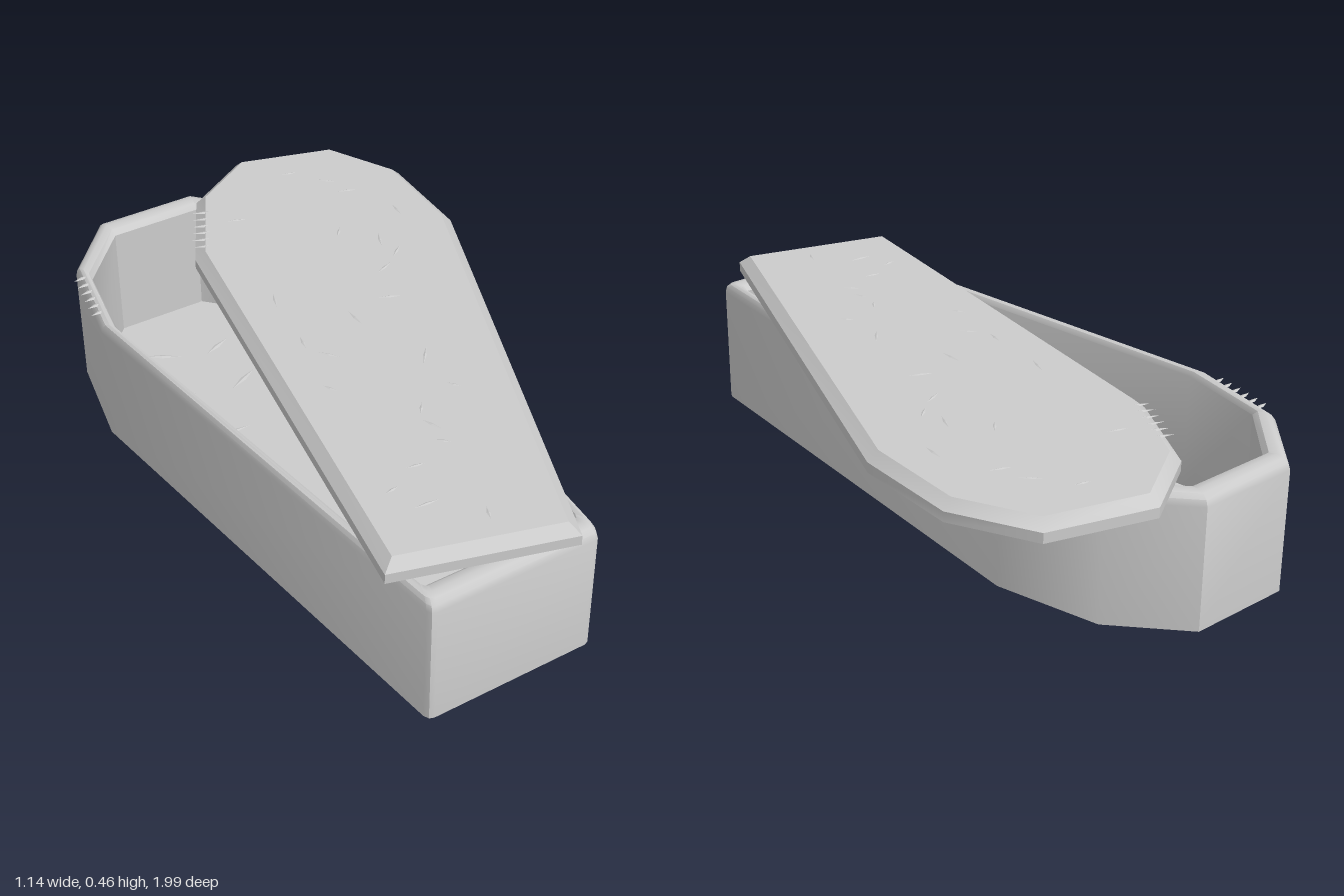
import * as THREE from 'three';
import { toCreasedNormals } from 'three/addons/utils/BufferGeometryUtils.js';

const material = new THREE.MeshStandardMaterial({ color: 0xcccccc });

// Right half of each outline as [x, z], head to foot; the left half is mirrored
const OUTER = [[0.155, -0.99], [0.325, -0.8], [0.395, -0.49], [0.255, 0.945], [0.248, 0.96], [0.235, 0.965]];
const INNER = [[0.14, -0.91], [0.305, -0.73], [0.36, -0.45], [0.228, 0.87], [0.223, 0.88], [0.215, 0.885]];
const LID = [[0.155, -0.99], [0.325, -0.8], [0.395, -0.49], [0.25, 0.965]];
const LID_TOP = [[0.143, -0.96], [0.299, -0.785], [0.364, -0.487], [0.224, 0.935]];

const mirrored = (half) => [...half, ...half.map(([x, z]) => [-x, z]).reverse()];

// Joins rings of [blend from a to b, height] and closes both ends with flat caps
function loft(a, b, levels) {
  const A = mirrored(a), B = mirrored(b), n = A.length, pos = [];
  const rings = levels.map(([t, y]) => A.map(([x, z], i) => [
    THREE.MathUtils.lerp(x, B[i][0], t), y, THREE.MathUtils.lerp(z, B[i][1], t)]));
  for (let k = 0; k < rings.length - 1; k++) {
    for (let i = 0; i < n; i++) {
      const j = (i + 1) % n, p = rings[k], q = rings[k + 1];
      pos.push(...p[i], ...q[i], ...p[j], ...p[j], ...q[i], ...q[j]);
    }
  }
  const first = rings[0], last = rings[rings.length - 1];
  for (let i = 1; i < n - 1; i++) {
    pos.push(...first[0], ...first[i], ...first[i + 1]);
    pos.push(...last[0], ...last[i + 1], ...last[i]);
  }
  const geometry = new THREE.BufferGeometry();
  geometry.setAttribute('position', new THREE.Float32BufferAttribute(pos, 3));
  geometry.computeVertexNormals();
  return toCreasedNormals(geometry, 0.6);
}

function part(name, geometry, parent) {
  const mesh = new THREE.Mesh(geometry, material);
  mesh.name = name;
  parent.add(mesh);
  return mesh;
}

function seeded(seed) {
  return () => (seed = (seed * 16807) % 2147483647) / 2147483647;
}

// Thin spindle lying flat, for scratches in the surface
const sliver = toCreasedNormals(new THREE.OctahedronGeometry(1), 0.2);
function scratch(name, parent, x, y, z, length, angle, width = 0.006) {
  const mesh = part(name, sliver, parent);
  mesh.position.set(x, y, z);
  mesh.scale.set(length / 2, 0.003, width);
  mesh.rotation.y = angle;
}

export function createModel() {
  const model = new THREE.Group();
  const random = seeded(77);

  // Hollow box with a rounded rim and a thin floor
  const box = new THREE.Group();
  box.name = 'coffinBox';
  box.position.x = -0.175;
  model.add(box);
  part('boxShell', loft(OUTER, INNER, [
    [0, 0.002], [0, 0.36], [0.08, 0.378], [0.25, 0.39], [0.5, 0.394],
    [0.8, 0.39], [1, 0.375], [1, 0.03],
  ]), box);

  // Scratches on the floor near the head
  for (let i = 0; i < 14; i++) {
    scratch('floorScratch', box, -0.24 + random() * 0.42, 0.031, -0.8 + random() * 0.55,
      0.08 + random() * 0.07, random() * Math.PI, 0.009);
  }
  // Claw marks across the rim
  for (let i = 0; i < 6; i++) {
    scratch('rimClawMark', box, -0.338 - i * 0.007, 0.391, -0.73 + i * 0.037, 0.055, 0.15, 0.008);
  }

  // Bevelled lid, pushed aside and turned
  const lid = new THREE.Group();
  lid.name = 'lid';
  lid.position.set(0.029, 0, -0.005);
  lid.rotation.y = -0.288;
  model.add(lid);
  part('lidSlab', loft(LID, LID_TOP, [[0, 0.399], [0, 0.428], [1, 0.455]]), lid);

  // Scattered scratches on the lid face
  for (let i = 0; i < 24; i++) {
    const z = -0.85 + (i / 23) * 1.7;
    const half = 0.3 - Math.max(0, z + 0.45) * 0.09;
    scratch('lidScratch', lid, (random() * 2 - 1) * half * 0.85, 0.4545, z,
      0.05 + random() * 0.04, random() * Math.PI);
  }
  // Claw marks over the lid edge
  for (let i = 0; i < 6; i++) {
    scratch('lidClawMark', lid, -0.32 - i * 0.007, 0.453, -0.7 + i * 0.037, 0.08, -0.1, 0.008);
  }
  return model;
}
